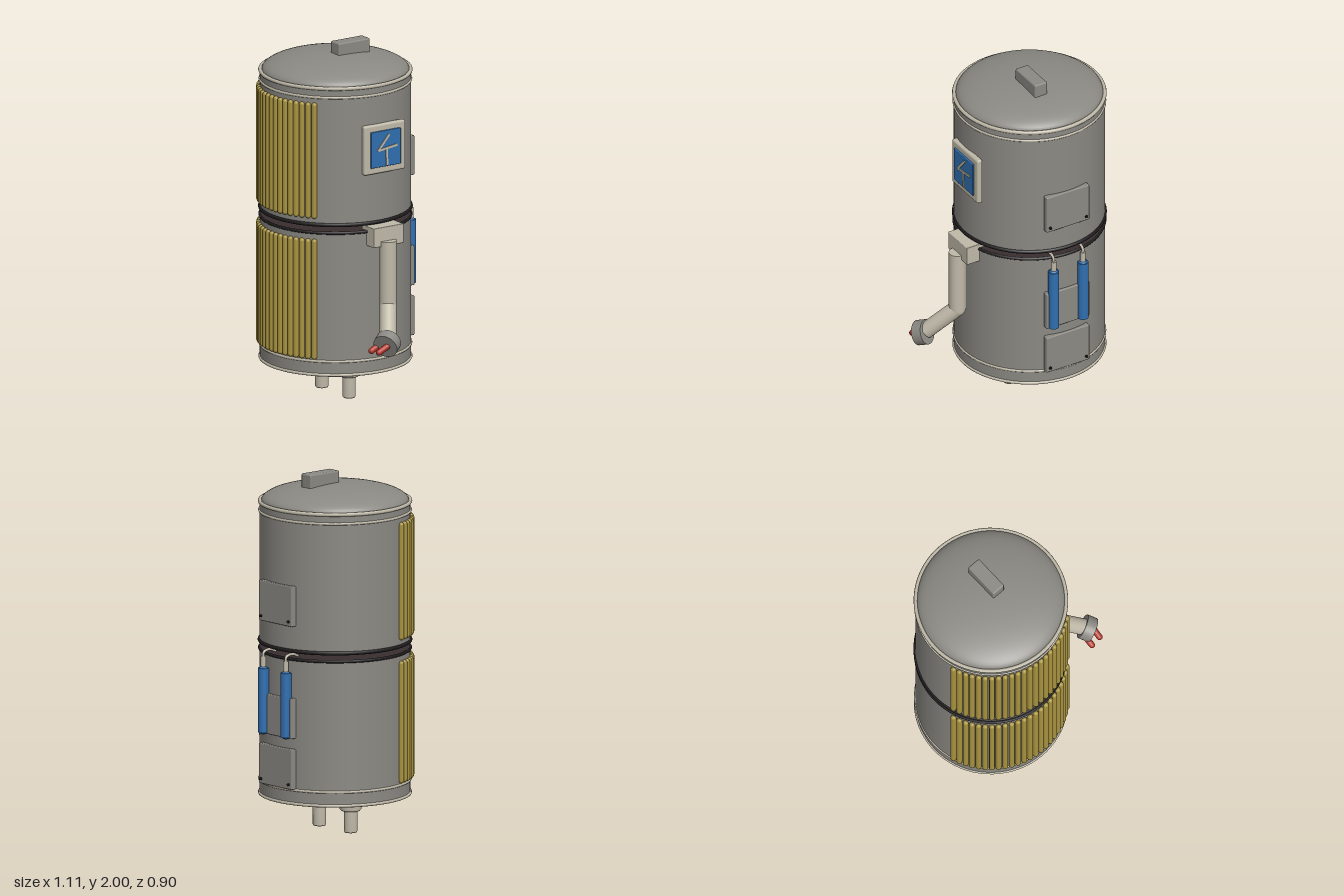
import * as THREE from 'three';
import { RoundedBoxGeometry } from 'three/addons/geometries/RoundedBoxGeometry.js';

const paint = (name, color) => {
  const m = new THREE.MeshStandardMaterial({ color });
  m.name = name;
  return m;
};

export function createModel() {
  const steel = paint('steel grey', 0x8b8983);
  const cream = paint('warm off-white', 0xbfb9a8);
  const brass = paint('brass yellow', 0xa8933f);
  const blue = paint('blue', 0x2f6fb0);
  const red = paint('red', 0xb03428);
  const black = paint('black', 0x1e1b1c);
  const brown = paint('dark brown', 0x3a2e2f);

  const root = new THREE.Group();
  root.name = 'twoTierTank';
  const tank = new THREE.Group();
  tank.name = 'tank';
  tank.position.set(-0.12, 0, 0.01);
  tank.rotation.y = -0.19;
  root.add(tank);

  const add = (parent, name, geo, mat, x = 0, y = 0, z = 0) => {
    const mesh = new THREE.Mesh(geo, mat);
    mesh.name = name;
    mesh.position.set(x, y, z);
    parent.add(mesh);
    return mesh;
  };
  const box = (parent, name, w, h, d, mat, x, y, z, r = 0.008) =>
    add(parent, name, new RoundedBoxGeometry(w, h, d, 2, r), mat, x, y, z);
  // Upright cylinder given by its bottom and top heights
  const post = (parent, name, r, y0, y1, mat, x = 0, z = 0, sides = 24) =>
    add(parent, name, new THREE.CylinderGeometry(r, r, y1 - y0, sides), mat, x, (y0 + y1) / 2, z);
  const ring = (name, y, r, t, mat) => {
    const m = add(tank, name, new THREE.TorusGeometry(r, t, 8, 72), mat, 0, y, 0);
    m.rotation.x = Math.PI / 2;
  };
  // Cylinder or capsule running between two points
  const rod = (parent, name, a, b, r, mat, round = false) => {
    const p = new THREE.Vector3(...a), q = new THREE.Vector3(...b);
    const len = p.distanceTo(q);
    const geo = round ? new THREE.CapsuleGeometry(r, len - 2 * r, 6, 16)
      : new THREE.CylinderGeometry(r, r, len, 28);
    const m = add(parent, name, geo, mat);
    m.position.copy(p).lerp(q, 0.5);
    m.quaternion.setFromUnitVectors(new THREE.Vector3(0, 1, 0), q.sub(p).normalize());
    return m;
  };

  // Two drums with dark faces turned to the gap between them
  post(tank, 'lowerDrum', 0.415, 0.2, 1.02, steel, 0, 0, 72);
  post(tank, 'upperDrum', 0.415, 1.052, 1.84, steel, 0, 0, 72);
  post(tank, 'lowerGapFace', 0.413, 1.017, 1.022, brown, 0, 0, 72);
  post(tank, 'upperGapFace', 0.413, 1.05, 1.055, brown, 0, 0, 72);
  ring('lowerSeal', 1.015, 0.414, 0.009, black);
  ring('upperSeal', 1.061, 0.414, 0.011, black);
  ring('bottomRim', 0.208, 0.414, 0.009, cream);
  ring('lowerBand', 0.285, 0.414, 0.008, cream);
  ring('upperBand', 1.785, 0.414, 0.008, cream);
  ring('topRim', 1.836, 0.413, 0.011, cream);

  // Domed lid and handle
  const dome = [];
  for (let i = 0; i <= 16; i++) {
    const t = (i / 16) * Math.PI / 2;
    dome.push(new THREE.Vector2(i === 16 ? 0 : 0.405 * Math.cos(t), 1.838 + 0.097 * Math.sin(t)));
  }
  add(tank, 'lid', new THREE.LatheGeometry(dome, 72), steel);
  box(tank, 'lidHandle', 0.08, 0.1, 0.21, steel, 0.034, 1.95, -0.077);

  // Brass tubes around the front of both drums
  const tubeCount = 23;
  for (const [y0, y1] of [[0.295, 0.98], [1.095, 1.755]]) {
    const geo = new THREE.CapsuleGeometry(0.016, y1 - y0 - 0.032, 4, 12);
    for (let i = 0; i < tubeCount; i++) {
      const a = THREE.MathUtils.degToRad(-71 + (110 * i) / (tubeCount - 1));
      add(tank, 'brassTube', geo, brass, 0.42 * Math.sin(a), (y0 + y1) / 2, 0.42 * Math.cos(a));
    }
  }

  // Feet
  for (const s of [-1, 1]) {
    const profile = [[0, 0], [0.032, 0], [0.037, 0.006], [0.037, 0.125]];
    add(tank, 'footPeg', new THREE.LatheGeometry(profile.map(p => new THREE.Vector2(...p)), 24), cream, s * 0.13, 0, 0);
    const collar = [[0, 0.122], [0.052, 0.122], [0.06, 0.132], [0.06, 0.19], [0.055, 0.197], [0, 0.2]];
    add(tank, 'footCollar', new THREE.LatheGeometry(collar.map(p => new THREE.Vector2(...p)), 28), cream, s * 0.13, 0, 0);
  }

  // Side sign: frame, blue plate and bolt mark
  box(tank, 'signFrame', 0.035, 0.28, 0.275, cream, 0.416, 1.48, -0.03, 0.012);
  box(tank, 'signPlate', 0.016, 0.205, 0.2, blue, 0.434, 1.48, -0.03, 0.004);
  const strokes = [[-0.053, -0.005, 0.016, 0.075], [-0.053, -0.005, 0.07, 0.01], [0.002, 0, 0.005, -0.09]];
  for (const [u0, v0, u1, v1] of strokes) {
    const m = add(tank, 'signMark', new THREE.BoxGeometry(0.008, 0.013, Math.hypot(u1 - u0, v1 - v0) + 0.008),
      cream, 0.443, 1.48 + (v0 + v1) / 2, -0.03 - (u0 + u1) / 2);
    m.rotation.x = Math.atan2(v1 - v0, u1 - u0);
  }

  // Back hatches with screws in the lower corners
  for (const y of [0.402, 0.686, 1.313]) {
    box(tank, 'backHatch', 0.275, 0.225, 0.036, steel, 0.01, y, -0.41, 0.006);
    for (const s of [-1, 1]) {
      const m = add(tank, 'hatchScrew', new THREE.CylinderGeometry(0.008, 0.008, 0.012, 12), black,
        0.01 + s * 0.115, y - 0.085, -0.43);
      m.rotation.x = Math.PI / 2;
    }
  }

  // Blue bottles on the back, each with a neck and a hose into the gap
  for (const x of [-0.083, 0.105]) {
    rod(tank, 'bottle', [x, 0.568, -0.43], [x, 0.952, -0.43], 0.03, blue, true);
    const body = post(tank, 'bottleBarrel', 0.03, 0.58, 0.94, blue, x, -0.43);
    body.name = 'bottleBarrel';
    post(tank, 'bottleNeck', 0.015, 0.94, 1.005, cream, x, -0.43, 16);
    const path = new THREE.CatmullRomCurve3([[1.0, -0.43], [1.025, -0.428], [1.036, -0.41], [1.036, -0.37], [1.02, -0.34]]
      .map(([y, z]) => new THREE.Vector3(x, y, z)));
    add(tank, 'bottleHose', new THREE.TubeGeometry(path, 16, 0.008, 8), cream);
  }

  // Arm on the left side
  box(tank, 'shoulderBlock', 0.115, 0.11, 0.2, cream, 0.418, 0.99, -0.024, 0.004);
  const elbow = [0.35, 0.6, 0.08];
  rod(root, 'upperArm', [0.35, 0.965, 0.08], elbow, 0.047, cream);
  add(root, 'elbow', new THREE.SphereGeometry(0.047, 24, 16), cream, ...elbow);
  rod(root, 'forearm', elbow, [0.47, 0.445, 0.205], 0.046, cream);
  rod(root, 'wrist', [0.469, 0.442, 0.194], [0.489, 0.42, 0.246], 0.07, steel);
  rod(root, 'redProng', [0.437, 0.425, 0.225], [0.424, 0.385, 0.305], 0.017, red, true);
  rod(root, 'redProng', [0.503, 0.43, 0.225], [0.485, 0.388, 0.31], 0.017, red, true);

  return root;
}
